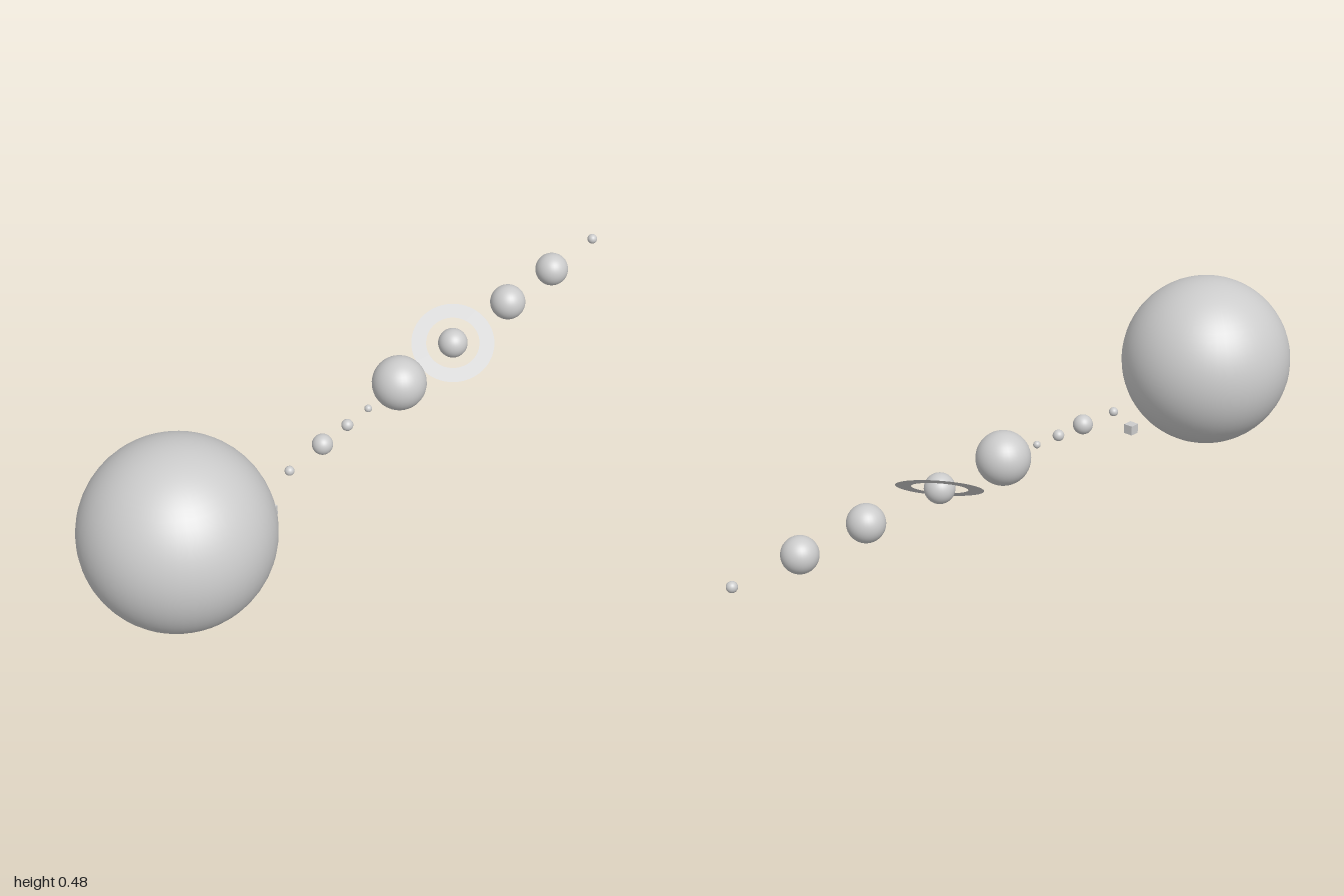
import * as THREE from 'three';

export function createModel() {
  const group = new THREE.Group();
  const material = new THREE.MeshStandardMaterial({ color: 0xcccccc });
  const rowZ = 0.021; // planets line up slightly in front of the sun's centre

  const add = (name, geometry, x, y, z = rowZ, mat = material) => {
    const mesh = new THREE.Mesh(geometry, mat);
    mesh.name = name;
    mesh.position.set(x, y, z);
    group.add(mesh);
    return mesh;
  };

  // Sun
  add('sun', new THREE.SphereGeometry(0.2395, 48, 32), -0.7605, 0.2395, 0);

  // Small cube beside the sun
  add('cube', new THREE.BoxGeometry(0.027, 0.027, 0.027), -0.455, 0.121);

  // Planets: name, radius, x, y
  const planets = [
    ['firstPlanet', 0.0125, -0.377, 0.198],
    ['secondPlanet', 0.027, -0.248, 0.204],
    ['thirdPlanet', 0.0155, -0.148, 0.206],
    ['fourthPlanet', 0.01, -0.062, 0.209],
    ['giantPlanet', 0.0725, 0.069, 0.217],
    ['ringedPlanet', 0.04, 0.305, 0.217],
    ['seventhPlanet', 0.049, 0.561, 0.217],
    ['eighthPlanet', 0.0465, 0.777, 0.217],
    ['dwarfPlanet', 0.014, 0.986, 0.217],
  ];
  for (const [name, r, x, y] of planets) {
    add(name, new THREE.SphereGeometry(r, 32, 24), x, y);
  }

  // Flat tilted ring
  const ringMaterial = material.clone();
  ringMaterial.side = THREE.DoubleSide;
  const ring = add('planetRing', new THREE.RingGeometry(0.072, 0.112, 64), 0.305, 0.217, rowZ, ringMaterial);
  const normal = new THREE.Vector3(-0.48, 0.807, 0.343).normalize();
  ring.quaternion.setFromUnitVectors(new THREE.Vector3(0, 0, 1), normal);

  return group;
}
